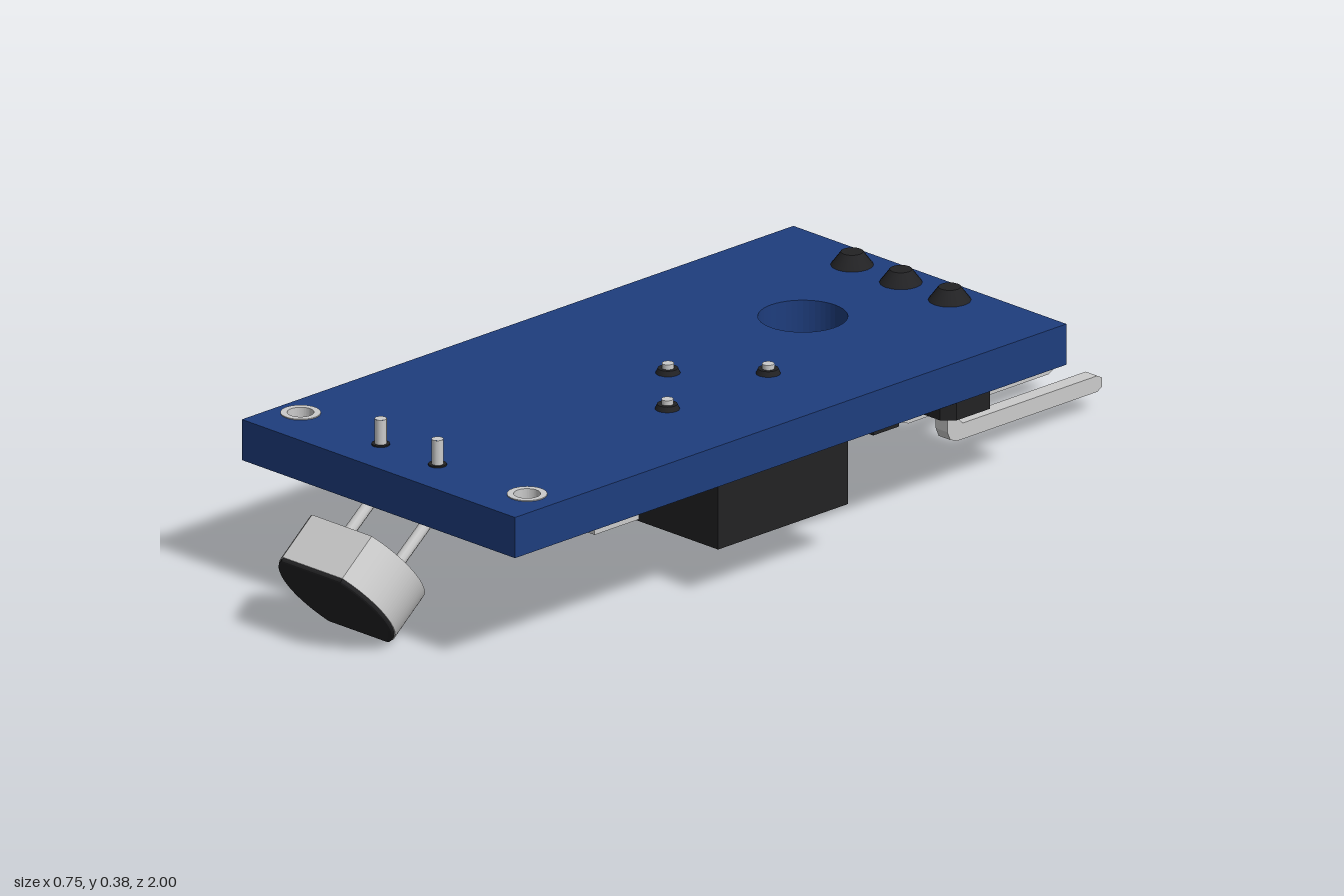
import * as THREE from 'three';

const mat = (color) => new THREE.MeshStandardMaterial({ color });
const BLUE = mat(0x1e3d7d), BLACK = mat(0x222224), METAL = mat(0xcccccc);

export function createModel() {
  const model = new THREE.Group();

  const add = (name, geo, material, x = 0, y = 0, z = 0, parent = model) => {
    const mesh = new THREE.Mesh(geo, material);
    mesh.name = name;
    mesh.position.set(x, y, z);
    parent.add(mesh);
    return mesh;
  };
  const box = (name, material, x, y, z, w, h, d, parent) =>
    add(name, new THREE.BoxGeometry(w, h, d), material, x, y, z, parent);
  const rod = (name, material, x, y0, y1, z, rTop, rBottom, sides = 16) =>
    add(name, new THREE.CylinderGeometry(rTop, rBottom, y1 - y0, sides), material, x, (y0 + y1) / 2, z);
  const polygon = (points) => new THREE.Shape(points.map(([a, b]) => new THREE.Vector2(a, b)));
  const circle = (x, y, r, Kind = THREE.Path) => {
    const c = new Kind();
    c.absarc(x, y, r, 0, Math.PI * 2, false);
    return c;
  };
  // Shape drawn in (x, z), extruded down from yTop
  const plate = (shape, yTop, h) =>
    new THREE.ExtrudeGeometry(shape, { depth: h, bevelEnabled: false, curveSegments: 24 })
      .rotateX(Math.PI / 2).translate(0, yTop, 0);
  // Shape drawn in (z, y), extruded along x and centred on it
  const sideProfile = (shape, w) =>
    new THREE.ExtrudeGeometry(shape, { depth: w, bevelEnabled: false, curveSegments: 8 })
      .rotateY(-Math.PI / 2).translate(w / 2, 0, 0);
  const ring = (x, z, rOut, rIn, yTop, h) => {
    const s = circle(x, z, rOut, THREE.Shape);
    s.holes.push(circle(x, z, rIn));
    return plate(s, yTop, h);
  };

  // Circuit board with its three holes
  const boardShape = polygon([[-0.375, -0.667], [0.375, -0.667], [0.375, 0.83], [-0.375, 0.83]]);
  const mounts = [[-0.32, 0.725], [0.302, 0.725]];
  boardShape.holes.push(circle(-0.013, -0.335, 0.087));
  for (const [x, z] of mounts) boardShape.holes.push(circle(x, z, 0.038));
  add('board', plate(boardShape, 0.334, 0.084), BLUE);
  for (const [x, z] of mounts) add('mountingEyelet', ring(x, z, 0.039, 0.026, 0.336, 0.088), METAL);
  add('holeRing', ring(-0.013, -0.335, 0.13, 0.088, 0.251, 0.004), METAL);

  // Pin header: chamfered housing, bent square pins, soldered ends above the board
  const pinX = [-0.146, -0.012, 0.122];
  const pinShape = polygon([[-0.578, 0.34], [-0.61, 0.34], [-0.61, 0.088], [-0.62, 0.078], [-0.985, 0.078],
    [-0.998, 0.071], [-0.998, 0.052], [-0.985, 0.045], [-0.605, 0.045], [-0.586, 0.052], [-0.578, 0.07]]);
  for (const x of pinX) {
    const l = x - 0.067, r = x + 0.067, c = 0.022;
    add('headerHousing', plate(polygon([[l + c, -0.665], [r - c, -0.665], [r, -0.665 + c], [r, -0.53 - c],
      [r - c, -0.53], [l + c, -0.53], [l, -0.53 - c], [l, -0.665 + c]]), 0.252, 0.137), BLACK);
    add('headerPin', sideProfile(pinShape, 0.032), METAL, x);
    rod('headerSolder', BLACK, x, 0.334, 0.361, -0.6, 0.022, 0.042);
  }

  // Trimmer: block with a round recess holding a cross-slotted screw
  const tx = 0.168, tz = 0.072, half = 0.176;
  box('trimmerBody', BLACK, tx, 0.188, tz, half * 2, 0.124, half * 2);
  const rim = polygon([[tx - half, tz - half], [tx + half, tz - half], [tx + half, tz + half], [tx - half, tz + half]]);
  rim.holes.push(circle(tx, tz, 0.085));
  add('trimmerRim', plate(rim, 0.126, 0.022), BLACK);
  for (let i = 0; i < 4; i++) {
    const quarter = new THREE.Shape();
    quarter.moveTo(0.012, 0.012);
    quarter.lineTo(0.07, 0.012);
    quarter.absarc(0, 0, 0.071, 0.17, Math.PI / 2 - 0.17, false);
    quarter.lineTo(0.012, 0.012);
    add('trimmerScrew', plate(quarter, 0.126, 0.018), BLACK, tx, 0, tz).rotation.y = i * Math.PI / 2;
  }
  for (const [x, z] of [[0.16, -0.07], [0.022, 0.066], [0.16, 0.204]]) {
    rod('trimmerSolder', BLACK, x, 0.33, 0.344, z, 0.02, 0.026);
    rod('trimmerPin', METAL, x, 0.33, 0.354, z, 0.012, 0.012, 12);
  }

  // Eight-legged chip: body widest at mid height
  const chip = new THREE.Group();
  chip.name = 'chip';
  chip.position.set(-0.2, 0, 0.074);
  model.add(chip);
  let body = new THREE.BoxGeometry(0.27, 0.085, 0.19, 1, 2, 1);
  const p = body.attributes.position;
  for (let i = 0; i < p.count; i++) {
    const inset = Math.abs(p.getY(i)) > 0.01 ? 0.012 : 0;
    p.setX(i, p.getX(i) - Math.sign(p.getX(i)) * inset);
    p.setZ(i, p.getZ(i) - Math.sign(p.getZ(i)) * inset);
  }
  body = body.toNonIndexed();
  body.computeVertexNormals();
  add('chipBody', body, BLACK, 0, 0.196, 0, chip);
  const legShape = polygon([[0.085, 0.19], [0.125, 0.19], [0.14, 0.236], [0.168, 0.236],
    [0.168, 0.251], [0.128, 0.251], [0.114, 0.205], [0.085, 0.205]]);
  for (const turn of [0, Math.PI])
    for (let i = 0; i < 4; i++)
      add('chipLeg', sideProfile(legShape, 0.024), METAL, (i - 1.5) * 0.07, 0, 0, chip).rotation.y = turn;

  // Small surface parts under the board
  for (const x of [0.112, 0.262]) box('capacitor', METAL, x, 0.223, 0.47, 0.056, 0.056, 0.12);
  for (const x of [-0.26, -0.11]) box('resistor', BLACK, x, 0.234, 0.46, 0.07, 0.036, 0.13);
  for (const x of [0.262, -0.27]) box('resistor', BLACK, x, 0.235, -0.225, 0.13, 0.034, 0.07);
  for (const x of [0.308, -0.285]) {
    box('indicatorBody', BLACK, x, 0.241, -0.383, 0.06, 0.022, 0.064);
    for (const s of [-1, 1]) box('indicatorContact', METAL, x, 0.243, -0.383 + s * 0.041, 0.05, 0.014, 0.02);
  }

  // Tilted light sensor: round can with two flats and a dark face
  const sensor = new THREE.Group();
  sensor.name = 'lightSensor';
  sensor.position.set(-0.012, 0.119, 0.893);
  sensor.rotation.x = 0.69;
  model.add(sensor);
  const flatDisc = (r, flat) => {
    const s = new THREE.Shape(), a = Math.asin(flat / r);
    s.absarc(0, 0, r, -a, a, false);
    s.absarc(0, 0, r, Math.PI - a, Math.PI + a, false);
    return s;
  };
  add('sensorCan', new THREE.ExtrudeGeometry(flatDisc(0.134, 0.106),
    { depth: 0.104, bevelEnabled: false, curveSegments: 20 }), METAL, 0, 0, -0.056, sensor);
  add('sensorFace', new THREE.ExtrudeGeometry(flatDisc(0.124, 0.096),
    { depth: 0.002, bevelThickness: 0.006, bevelSize: 0.008, bevelSegments: 3, curveSegments: 20 }),
  BLACK, 0, 0, 0.05, sensor);

  // Sensor leads: through the board, then angled to the back of the can
  for (const x of [-0.09, 0.066]) {
    const path = new THREE.CurvePath();
    const v = (y, z) => new THREE.Vector3(x, y, z);
    path.add(new THREE.LineCurve3(v(0.388, 0.735), v(0.265, 0.735)));
    path.add(new THREE.QuadraticBezierCurve3(v(0.265, 0.735), v(0.245, 0.735), v(0.232, 0.751)));
    path.add(new THREE.LineCurve3(v(0.232, 0.751), v(0.145, 0.86)));
    add('sensorLead', new THREE.TubeGeometry(path, 32, 0.012, 10), METAL);
    add('leadTip', new THREE.CircleGeometry(0.012, 10).rotateX(-Math.PI / 2), METAL, x, 0.388, 0.735);
    rod('leadSolder', BLACK, x, 0.33, 0.337, 0.735, 0.018, 0.018);
  }
  return model;
}
